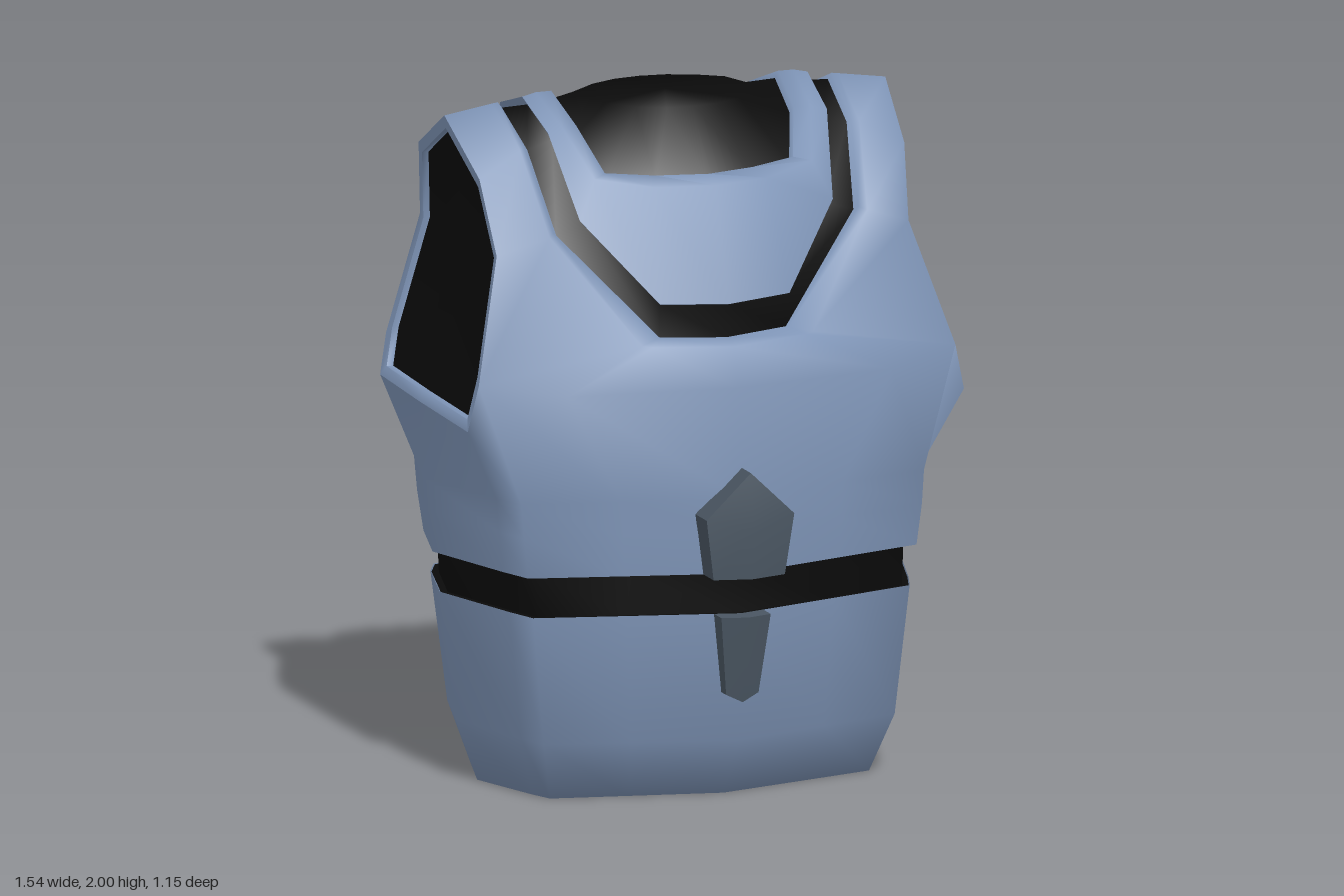
import * as THREE from 'three';
import { toCreasedNormals } from 'three/addons/utils/BufferGeometryUtils.js';

const material = (color) => new THREE.MeshStandardMaterial({ color, side: THREE.DoubleSide });
const blue = material(0x7d93b5), dark = material(0x0a0a0a), steel = material(0x4a5662);

// Half outline (front centre to back centre on the +x side) -> closed loop
const mirror = (half) => half.concat(half.slice(1, -1).reverse().map(([x, y, z]) => [-x, y, z]));
// Move points towards a centre
const inset = (loop, k, c = [0, 1.3, -0.12]) => loop.map((p) => p.map((v, i) => c[i] + (v - c[i]) * k));
const collapse = (loop, point) => loop.map(() => point);
const blend = (from, to, t) => from.map((p, i) => p.map((v, k) => v + (to[i][k] - v) * t));

// Skin one or more patches; each is a list of closed loops that share a point count
function skin(name, patches, mat, crease = 1.3) {
  const pos = [];
  const same = (a, b) => a.every((v, i) => Math.abs(v - b[i]) < 1e-6);
  const tri = (a, b, c) => {
    if (!same(a, b) && !same(b, c) && !same(a, c)) pos.push(...a, ...b, ...c);
  };
  for (const rows of patches) {
    const n = rows[0].length;
    for (let r = 0; r < rows.length - 1; r++) {
      for (let j = 0; j < n; j++) {
        const k = (j + 1) % n;
        const [a, b, c, d] = [rows[r][j], rows[r + 1][j], rows[r + 1][k], rows[r][k]];
        tri(a, b, c);
        tri(a, c, d);
      }
    }
  }
  const geo = new THREE.BufferGeometry();
  geo.setAttribute('position', new THREE.Float32BufferAttribute(pos, 3));
  const mesh = new THREE.Mesh(toCreasedNormals(geo, crease), mat);
  mesh.name = name;
  return mesh;
}

// Horizontal torso section: half width, front depth, back depth
const section = [[0, 1], [0.45, 0.82], [0.82, 0.67], [0.87, 0.46], [1, -0.17],
  [0.9, -0.64], [0.84, -0.79], [0.45, -0.93], [0, -1]];
const ring = (y, w, front, back) => mirror(section.map(([x, z]) => [x * w, y, z > 0 ? z * front : z * back]));

// Loops around the neck: collar opening, collar hem, chest neckline
const collarTop = [[0, 1.8, 0.215], [0.15, 1.8, 0.18], [0.29, 1.81, 0.14], [0.335, 1.93, 0.03], [0.35, 2, -0.13],
  [0.335, 1.93, -0.32], [0.28, 1.78, -0.45], [0.15, 1.76, -0.46], [0, 1.755, -0.465]];
const collarHem = [[0, 1.45, 0.375], [0.2, 1.46, 0.345], [0.39, 1.69, 0.2], [0.43, 1.92, 0.05], [0.44, 1.99, -0.13],
  [0.43, 1.93, -0.33], [0.39, 1.71, -0.495], [0.2, 1.43, -0.535], [0, 1.43, -0.54]];
const neckline = [[0, 1.35, 0.37], [0.2, 1.36, 0.34], [0.47, 1.66, 0.195], [0.505, 1.89, 0.05], [0.515, 1.98, -0.13],
  [0.505, 1.9, -0.33], [0.47, 1.69, -0.485], [0.2, 1.36, -0.53], [0, 1.35, -0.535]];

// Armhole edge from front to back over the shoulder, and its lower edge
const armTop = [[0.735, 1.25, 0.285], [0.635, 1.6, 0.17], [0.655, 1.81, 0.085], [0.68, 1.955, -0.13],
  [0.66, 1.82, -0.385], [0.64, 1.6, -0.425], [0.735, 1.25, -0.45]];
const armBottom = [[0.765, 1.115, 0.275], [0.768, 1.125, -0.1], [0.765, 1.135, -0.42]];
const chestFront = [[0, 1.22, 0.455], [0.5, 1.22, 0.385]];
const chestBack = [[0.38, 1.22, -0.56], [0, 1.22, -0.572]];

export function createModel() {
  const group = new THREE.Group();
  group.name = 'torsoArmour';
  const add = (...a) => group.add(skin(...a));

  // Chest shell: shoulder yoke with a rounded neck lip, then the trunk below
  const neckLoop = mirror([0, 1, 1, 2, 3, 4, 5, 6, 7, 7, 8].map((i) => neckline[i]));
  const yokeEdge = mirror([...chestFront, ...armTop, ...chestBack]);
  const neckLip = blend(neckLoop, yokeEdge, 0.12).map(([x, y, z]) => [x, y, -0.12 + (z + 0.12) * 1.08]);
  const yoke = [inset(neckLoop, 0.93), neckLoop, neckLip, yokeEdge];
  const trunk = [
    mirror([...chestFront, armTop[0], ...armBottom, armTop[6], ...chestBack]),
    ring(0.9, 0.757, 0.492, 0.573),
    ring(0.8, 0.748, 0.495, 0.568),
    ring(0.68, 0.73, 0.488, 0.553),
  ];
  add('chestShell', [yoke, trunk], blue);

  // Collar with a rounded upper lip
  const top = mirror(collarTop), hem = mirror(collarHem);
  const lip = blend(top, hem, 0.2).map(([x, , z], i) =>
    [x * 1.08, top[i][1] + (hem[i][1] - top[i][1]) * 0.06, -0.12 + (z + 0.12) * 1.08]);
  add('collar', [[inset(top, 0.95), top, lip, hem, inset(hem, 0.95)]], blue);

  // Dark under-suit: band below the collar and rounded plug in the neck
  add('collarBand', [[inset(hem, 0.965), inset(mirror(neckline), 0.975)]], dark);
  const dome = mirror([[0, 1.975, 0.1], [0.08, 1.975, 0.09], [0.16, 1.975, 0.05], [0.22, 1.975, -0.03],
    [0.25, 1.975, -0.13], [0.22, 1.975, -0.22], [0.16, 1.97, -0.29], [0.08, 1.97, -0.325], [0, 1.97, -0.335]]);
  add('neckPlug', [[collapse(dome, [0, 1.978, -0.13]), dome, inset(top, 0.97)]], dark);

  // Armhole rims and dark panels, both sides
  const armLoop = [...armTop, armBottom[2], armBottom[1], armBottom[0]];
  for (const [side, s] of [['left', 1], ['right', -1]]) {
    const flip = (loop) => (s > 0 ? loop : loop.map(([x, y, z]) => [-x, y, z]).reverse());
    const centre = [0.64, 1.5, -0.09];
    const inner = inset(armLoop, 0.92, centre);
    const deep = inner.map(([x, y, z]) => [x - 0.02, y, z]);
    add(side + 'ArmholeRim', [[flip(armLoop), flip(inner), flip(deep)]], blue);
    add(side + 'ArmholePanel', [[flip(deep), collapse(deep, [s * 0.625, 1.5, -0.09])]], dark);
  }

  // Dark waist with ledges that close the shells above and below
  add('waistBand', [[
    ring(0.682, 0.727, 0.485, 0.55),
    ring(0.682, 0.69, 0.458, 0.53),
    ring(0.558, 0.685, 0.456, 0.525),
    ring(0.558, 0.705, 0.473, 0.544),
  ]], dark);

  // Belly shell, open at the base
  add('bellyShell', [[
    ring(0.56, 0.708, 0.476, 0.547),
    ring(0.18, 0.66, 0.45, 0.512),
    ring(0, 0.6, 0.335, 0.44),
    ring(0, 0.575, 0.315, 0.42),
    ring(0.03, 0.575, 0.315, 0.42),
  ]], blue);
  const base = ring(0.025, 0.577, 0.317, 0.422);
  add('baseOpening', [[base, collapse(base, [0, 0.06, -0.05])]], dark);

  // Ridged plates on the front: bevelled fan with straight sides
  const plate = (name, half, centre, depth) => {
    const edge = mirror(half);
    add(name, [[collapse(edge, centre), edge, edge.map(([x, y, z]) => [x, y, z - depth])]], steel, 0.9);
  };
  plate('chestPlate', [[0, 0.68, 0.568], [0.11, 0.68, 0.54], [0.135, 0.86, 0.55], [0, 0.99, 0.553]], [0, 0.82, 0.58], 0.09);
  plate('bellyPlate', [[0, 0.3, 0.488], [0.05, 0.325, 0.485], [0.076, 0.56, 0.515], [0, 0.56, 0.535]], [0, 0.42, 0.512], 0.06);

  return group;
}
